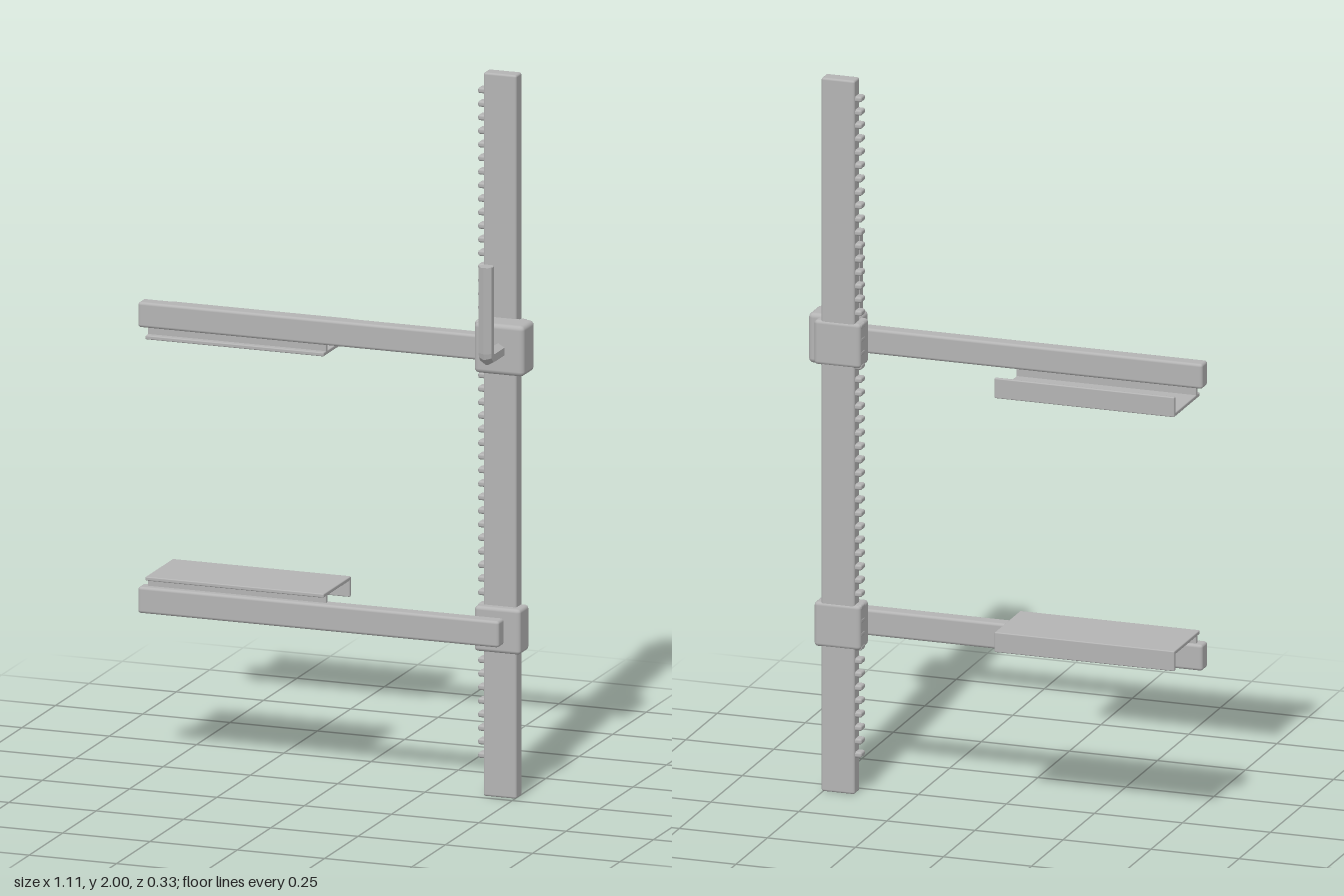
import * as THREE from 'three';
import { RoundedBoxGeometry } from 'three/addons/geometries/RoundedBoxGeometry.js';

export function createModel() {
  const model = new THREE.Group();
  model.name = 'slidingClamp';
  const steel = new THREE.MeshStandardMaterial({ color: 0xb4b4b4 });
  steel.name = 'steelGrey';

  const add = (name, geometry, parent = model) => {
    const mesh = new THREE.Mesh(geometry, steel);
    mesh.name = name;
    parent.add(mesh);
    return mesh;
  };
  // Rounded box given by its minimum and maximum corners
  const box = (name, [x0, y0, z0], [x1, y1, z1], radius, parent) => {
    const g = new RoundedBoxGeometry(x1 - x0, y1 - y0, z1 - z0, 2, radius);
    g.translate((x0 + x1) / 2, (y0 + y1) / 2, (z0 + z1) / 2);
    return add(name, g, parent);
  };

  // Upright post with a rack of teeth on its inner side
  box('post', [0.41, 0, -0.06], [0.505, 2, -0.017], 0.006);
  const rack = new THREE.Group();
  rack.name = 'rackTeeth';
  model.add(rack);
  for (let i = 0; i < 50; i++) {
    const y = 0.11 + i * 0.0375;
    box('tooth', [0.392, y - 0.008, -0.055], [0.42, y + 0.008, -0.022], 0.006, rack);
  }

  // Collars that ride on the post, and the gear housing of the upper one
  box('upperCollar', [0.393, 1.195, -0.063], [0.525, 1.32, 0.008], 0.01);
  box('lowerCollar', [0.393, 0.405, -0.063], [0.525, 0.53, 0.008], 0.01);
  box('gearHousing', [0.41, 1.187, -0.032], [0.553, 1.327, 0.055], 0.013);

  // Horizontal arms
  box('upperArm', [-0.556, 1.22, 0], [0.44, 1.29, 0.045], 0.008);
  box('lowerArm', [-0.556, 0.43, 0], [0.478, 0.503, 0.045], 0.008);

  // Jaw plates: thin sheet with a rib to the arm and a flange folded towards it
  const jaw = (name, outerY, dir) => {
    const group = new THREE.Group();
    group.name = name;
    model.add(group);
    const slab = (part, a, b, z0, z1, r) => {
      const ys = [outerY + dir * a, outerY + dir * b].sort((p, q) => p - q);
      box(part, [-0.535, ys[0], z0], [-0.024, ys[1], z1], r, group);
    };
    slab('plate', 0, 0.011, -0.163, 0.042, 0.003);
    slab('flange', 0, 0.056, -0.163, -0.152, 0.003);
    slab('rib', 0.008, 0.034, 0.011, 0.024, 0.002);
  };
  jaw('upperJaw', 1.188, 1);
  jaw('lowerJaw', 0.532, -1);

  // Six-sided crank handle, bent upwards in front of the housing
  const handle = new THREE.Group();
  handle.name = 'crankHandle';
  handle.position.set(0.481, 1.255, 0);
  model.add(handle);
  const p = (y, z) => new THREE.Vector3(0, y, z);
  const path = new THREE.CurvePath();
  path.add(new THREE.LineCurve3(p(0, 0.04), p(0, 0.128)));
  path.add(new THREE.QuadraticBezierCurve3(p(0, 0.128), p(0, 0.144), p(0.016, 0.144)));
  path.add(new THREE.LineCurve3(p(0.016, 0.144), p(0.255, 0.144)));
  const rod = new THREE.TubeGeometry(path, 40, 0.021, 6, false).toNonIndexed();
  rod.computeVertexNormals();
  add('handleRod', rod, handle);
  const cap = new THREE.CircleGeometry(0.021, 6).rotateX(-Math.PI / 2);
  add('handleCap', cap, handle).position.set(0, 0.255, 0.144);

  return model;
}
